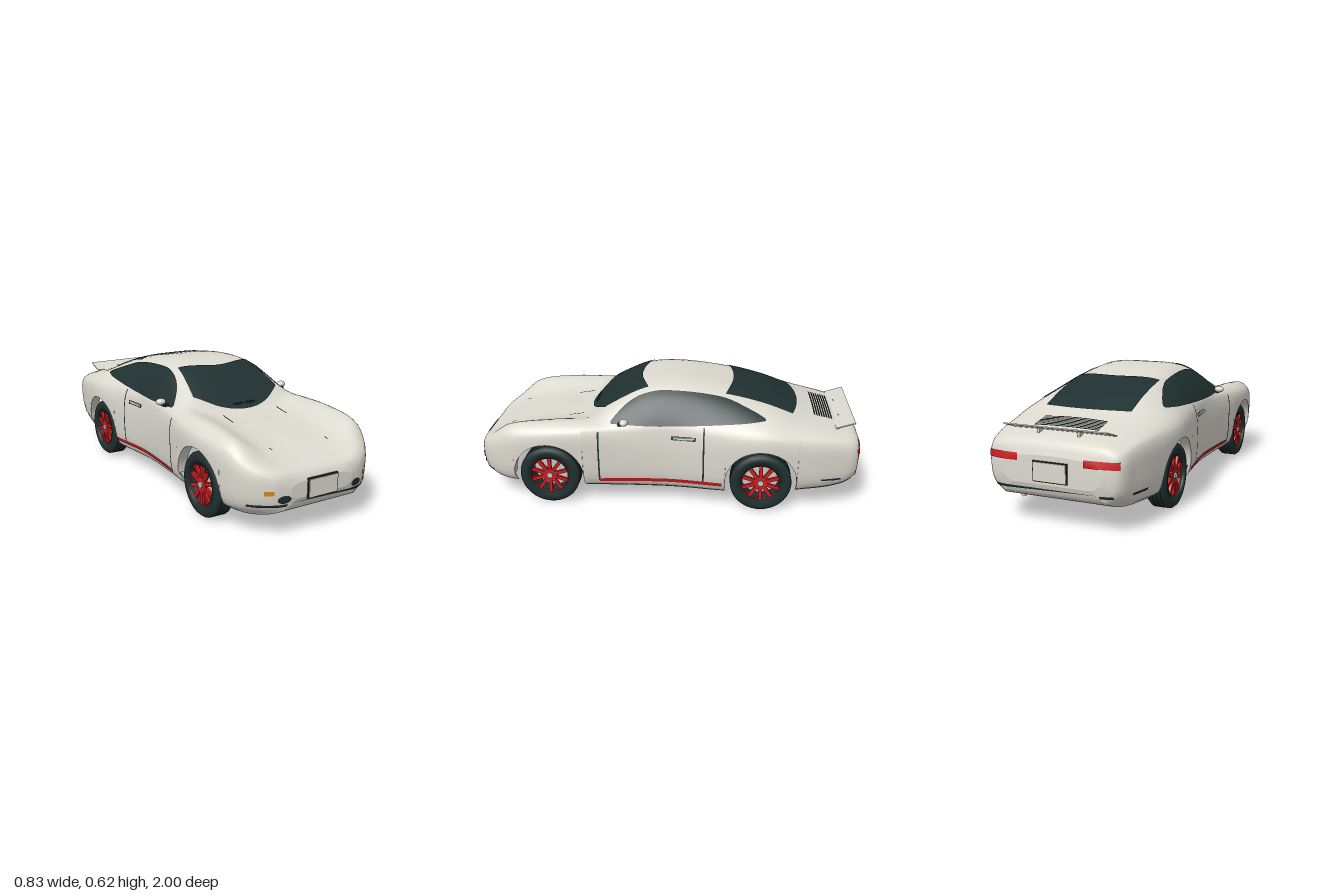
import * as THREE from 'three';

const { lerp } = THREE.MathUtils;
const mat = (name, color, side = THREE.DoubleSide) => {
  const m = new THREE.MeshStandardMaterial({ color, side });
  m.name = name;
  return m;
};

// Body stations: z, floor y, half width, shoulder y, fender x, y, roof or hood edge x, y, centre top y
const STATIONS = [
  [0.99, 0.175, 0.17, 0.23, 0.13, 0.245, 0.07, 0.25, 0.25],
  [0.97, 0.125, 0.25, 0.265, 0.21, 0.285, 0.12, 0.285, 0.285],
  [0.9, 0.1, 0.34, 0.31, 0.29, 0.335, 0.17, 0.32, 0.315],
  [0.8, 0.09, 0.39, 0.37, 0.33, 0.41, 0.2, 0.365, 0.36],
  [0.6, 0.085, 0.41, 0.4, 0.335, 0.44, 0.2, 0.4, 0.395],
  [0.42, 0.08, 0.402, 0.41, 0.33, 0.445, 0.2, 0.42, 0.418],
  [0.35, 0.077, 0.393, 0.41, 0.335, 0.445, 0.255, 0.46, 0.468],
  [0.3, 0.075, 0.385, 0.41, 0.34, 0.445, 0.25, 0.495, 0.507],
  [0.12, 0.072, 0.37, 0.405, 0.345, 0.445, 0.225, 0.58, 0.602],
  [-0.05, 0.07, 0.366, 0.405, 0.345, 0.445, 0.22, 0.595, 0.622],
  [-0.3, 0.07, 0.395, 0.405, 0.35, 0.46, 0.22, 0.57, 0.592],
  [-0.5, 0.078, 0.412, 0.41, 0.345, 0.465, 0.215, 0.525, 0.545],
  [-0.7, 0.092, 0.387, 0.39, 0.32, 0.43, 0.2, 0.455, 0.467],
  [-0.88, 0.11, 0.348, 0.37, 0.29, 0.395, 0.19, 0.412, 0.418],
  [-0.97, 0.15, 0.31, 0.33, 0.26, 0.365, 0.17, 0.378, 0.382],
  [-0.99, 0.2, 0.24, 0.29, 0.2, 0.315, 0.12, 0.325, 0.33],
];
const AXLES = [0.59, -0.49], ARCH_R = 0.18, ARCH_Y = 0.16;

// Smooth interpolation of a column of rows sorted by falling first value
function sample(rows, z, col) {
  let i = 0;
  while (i < rows.length - 2 && z < rows[i + 1][0]) i++;
  const slope = (k) => {
    const a = rows[Math.max(k - 1, 0)], b = rows[Math.min(k + 1, rows.length - 1)];
    return (b[col] - a[col]) / (b[0] - a[0]);
  };
  const [p, q] = [rows[i], rows[i + 1]], h = q[0] - p[0];
  const t = (z - p[0]) / h, t2 = t * t, t3 = t2 * t;
  return (2 * t3 - 3 * t2 + 1) * p[col] + (t3 - 2 * t2 + t) * h * slope(i)
    + (3 * t2 - 2 * t3) * q[col] + (t3 - t2) * h * slope(i + 1);
}

// Cross-section curve from the left floor edge over the top to the right floor edge
function section(z) {
  const [bot, w, dy, ex, ey, fx, fy, top] = [1, 2, 3, 4, 5, 6, 7, 8].map((c) => sample(STATIONS, z, c));
  const half = [[w * 0.8, bot], [w * 0.95, bot + Math.min(0.045, 0.25 * (dy - bot))],
    [w, bot + 0.6 * (dy - bot)], [w * 0.975, dy], [ex, ey], [fx, fy]];
  const pts = [...half, [0, top], ...half.slice().reverse().map(([x, y]) => [-x, y])];
  return { bot, w, curve: new THREE.CatmullRomCurve3(pts.map(([x, y]) => new THREE.Vector3(x, y, z))) };
}

const archAt = (z) => AXLES.find((c) => Math.abs(z - c) <= ARCH_R + 1e-6);

// Curve parameter where the side panel starts: the floor edge or the wheel arch
function lowerEdge(z, curve) {
  const c = archAt(z);
  if (c === undefined) return 0;
  const y = ARCH_Y + Math.sqrt(Math.max(0, ARCH_R ** 2 - (z - c) ** 2));
  let lo = 0, hi = 0.25;
  for (let k = 0; k < 24; k++) {
    const m = (lo + hi) / 2;
    if (curve.getPoint(m).y < y) lo = m; else hi = m;
  }
  return lo;
}

// Grid surface from a rule (i, j) => Vector3
function grid(nu, nv, fn) {
  const pos = [], idx = [], n = nv + 1;
  for (let i = 0; i <= nu; i++) for (let j = 0; j <= nv; j++) pos.push(...fn(i, j).toArray());
  for (let i = 0; i < nu; i++) for (let j = 0; j < nv; j++) {
    const a = i * n + j, c = a + n;
    idx.push(a, c, a + 1, a + 1, c, c + 1);
  }
  const g = new THREE.BufferGeometry();
  g.setAttribute('position', new THREE.Float32BufferAttribute(pos, 3));
  g.setIndex(idx);
  g.computeVertexNormals();
  return g;
}

export function createModel() {
  const car = new THREE.Group();
  const paint = mat('paint', 0xdcd9cf, THREE.FrontSide), dark = mat('dark', 0x203030);
  const red = mat('red', 0xc81e20), amber = mat('amber', 0xd08a1e), silver = mat('silver', 0xc9cccc);
  const add = (name, geo, m, parent = car, x = 0, y = 0, z = 0) => {
    const mesh = new THREE.Mesh(geo, m);
    mesh.name = name;
    mesh.position.set(x, y, z);
    parent.add(mesh);
    return mesh;
  };
  const box = (w, h, d) => new THREE.BoxGeometry(w, h, d);

  // Body shell with open wheel arches; the end stations close to a point
  let zs = [];
  for (let i = 0; i <= 72; i++) zs.push(0.99 * Math.cos((Math.PI * i) / 72));
  zs = zs.filter((z) => archAt(z) === undefined);
  for (const c of AXLES) {
    zs.push(c + ARCH_R + 0.0005, c - ARCH_R - 0.0005);
    for (let k = 0; k <= 22; k++) zs.push(c + ARCH_R * Math.cos((Math.PI * k) / 22));
  }
  zs.sort((a, b) => b - a);
  const secs = zs.map((z) => {
    const s = section(z);
    return { ...s, z, t0: lowerEdge(z, s.curve) };
  });
  const last = zs.length + 1;
  const body = add('bodyShell', grid(last, 60, (i, j) => {
    const s = secs[Math.min(Math.max(i - 1, 0), zs.length - 1)];
    if (i === 0 || i === last) return new THREE.Vector3(0, s.bot, s.z);
    const t = j < 12 ? lerp(s.t0, 0.25, j / 12) : j > 48 ? lerp(0.75, 1 - s.t0, (j - 48) / 12) : lerp(0.25, 0.75, (j - 12) / 36);
    return s.curve.getPoint(t);
  }), paint);
  add('floor', grid(zs.length - 1, 2, (i, j) => {
    const s = secs[i], hw = archAt(s.z) === undefined ? s.w * 0.8 : 0.27;
    return new THREE.Vector3((j - 1) * hw, s.bot, s.z);
  }), paint);

  // Arch lips
  for (const c of AXLES) for (const side of [1, -1]) {
    add('archLip', grid(22, 1, (i, j) => {
      const z = c + ARCH_R * Math.cos((Math.PI * i) / 22), { curve } = section(z);
      const p = curve.getPoint(lowerEdge(z, curve));
      return new THREE.Vector3(side * (p.x - ((j === 1) === (side === 1) ? 0 : 0.05)), p.y, z);
    }), paint);
  }

  // Painted details are projected onto the shell along one axis
  body.updateMatrixWorld(true);
  const ray = new THREE.Raycaster();
  const AIM = {
    front: (a, b) => [[a, b, 3], [0, 0, -1]], back: (a, b) => [[a, b, -3], [0, 0, 1]],
    top: (a, b) => [[a, 3, b], [0, -1, 0]],
    left: (a, b) => [[3, b, a], [-1, 0, 0]], right: (a, b) => [[-3, b, a], [1, 0, 0]],
  };
  let previous = new THREE.Vector3();
  const project = (view, a, b, lift = 0.004) => {
    const [o, d] = AIM[view](a, b);
    ray.set(new THREE.Vector3(...o), new THREE.Vector3(...d));
    const hit = ray.intersectObject(body)[0];
    if (hit) previous = hit.point.clone().addScaledVector(hit.face.normal, lift);
    return previous.clone();
  };
  const decal = (name, m, view, nu, nv, fn) =>
    add(name, grid(nu, nv, (i, j) => project(view, ...fn(i / nu, j / nv))), m);
  const rect = (a0, a1, b0, b1) => (u, v) => [lerp(a0, a1, u), lerp(b0, b1, v)];

  // Glass
  decal('windscreen', dark, 'top', 24, 14, (u, v) => {
    const s = 2 * u - 1;
    return [s * lerp(0.25, 0.21, v), lerp(0.41 - 0.1 * s * s, 0.14 - 0.05 * s * s, v)];
  });
  decal('rearWindow', dark, 'top', 20, 14, (u, v) => {
    const s = 2 * u - 1;
    return [s * 0.22, lerp(-0.34 + 0.04 * s * s, -0.675 + 0.035 * s * s, v)];
  });
  const sill = [[0.27, 0.44], [0, 0.437], [-0.34, 0.46], [-0.5, 0.475]];
  const rail = [[0.27, 0.452], [0.2, 0.52], [0.12, 0.565], [0, 0.586], [-0.28, 0.562], [-0.45, 0.505], [-0.5, 0.482]];

  for (const [view, side] of [['left', 1], ['right', -1]]) {
    decal('sideWindow', dark, view, 28, 10, (u, v) => {
      const z = lerp(0.27, -0.5, u);
      return [z, lerp(sample(sill, z, 1), sample(rail, z, 1), v)];
    });
    // Doors, sill stripe and handle
    decal('doorLine', dark, view, 1, 12, rect(0.326, 0.334, 0.14, 0.41));
    decal('doorLine', dark, view, 1, 12, rect(-0.204, -0.196, 0.15, 0.44));
    decal('sillStripe', red, view, 28, 1, rect(0.33, -0.295, 0.132, 0.152));
    decal('handleRecess', dark, view, 6, 1, rect(-0.035, -0.16, 0.372, 0.392));
    const h = project(view, -0.1, 0.383);
    add('doorHandle', box(0.012, 0.012, 0.11), paint, car, h.x, h.y, h.z);
    // Mirrors
    const mirror = add('mirror', new THREE.SphereGeometry(1, 20, 14), paint, car, side * 0.372, 0.461, 0.2);
    mirror.scale.set(0.026, 0.017, 0.022);
    add('mirrorStem', box(0.04, 0.012, 0.03), dark, car, side * 0.35, 0.446, 0.215);
    // Front lamps
    decal('indicator', amber, 'front', 4, 2, rect(side * 0.248, side * 0.285, 0.206, 0.225));
    decal('fogLamp', dark, 'front', 24, 2, (u, v) => [side * 0.202 + 0.031 * v * Math.cos(u * Math.PI * 2),
      0.183 + 0.018 * v * Math.sin(u * Math.PI * 2)]);
    // Bonnet lines and wiper
    decal('bonnetLine', dark, 'top', 20, 1, rect(side * 0.157, side * 0.163, 0.44, 0.83));
    add('wiper', box(0.05, 0.006, 0.008), dark, car, side * 0.035, 0.448, 0.385);
    // Rear lamps and bumper side strip
    decal('tailLamp', red, 'back', 14, 3, rect(side * 0.16, side * 0.315, 0.298, 0.33));
    decal('rearSideStrip', dark, view, 6, 1, rect(-0.79, -0.89, 0.174, 0.184));
    add('spoilerPost', box(0.012, 0.04, 0.03), paint, car, side * 0.1, 0.41, -0.9);
  }

  // Bumper strips and number plates
  decal('frontStrip', dark, 'front', 36, 1, rect(-0.335, 0.335, 0.149, 0.161));
  decal('rearStrip', dark, 'back', 30, 1, rect(-0.285, 0.285, 0.17, 0.182));
  for (const [y, s] of [[0.212, 1], [0.26, -1]]) {
    add('plateFrame', box(0.168, 0.092, 0.012), dark, car, 0, y, s * 0.991);
    add('plate', box(0.158, 0.082, 0.012), paint, car, 0, y, s * 0.994);
  }

  // Engine grille and spoiler
  for (let k = 0; k < 8; k++) {
    const z = -0.85 + k * 0.0125;
    decal('grilleSlot', dark, 'top', 8, 1, rect(-0.16, 0.16, z, z + 0.008));
  }
  add('spoiler', box(0.505, 0.006, 0.1), paint, car, 0, 0.43, -0.907).rotation.x = 0.32;
  add('exhaust', new THREE.CylinderGeometry(0.012, 0.012, 0.09, 16), silver, car, 0.2, 0.112, -0.85).rotation.x = Math.PI / 2;

  // Wheels: open tyre with tread grooves, spoked rim and hub
  const profile = [[0.098, -0.045], [0.125, -0.05], [0.145, -0.048], [0.155, -0.036]];
  for (const y of [-0.022, 0, 0.022]) {
    profile.push([0.155, y - 0.004], [0.149, y - 0.003], [0.149, y + 0.003], [0.155, y + 0.004]);
  }
  profile.push([0.155, 0.036], [0.145, 0.048], [0.125, 0.05], [0.098, 0.045], [0.098, -0.045]);
  const tyreGeo = new THREE.LatheGeometry(profile.map((p) => new THREE.Vector2(...p)), 48).rotateZ(-Math.PI / 2);
  const disc = (r, w) => new THREE.CylinderGeometry(r, r, w, 24).rotateZ(Math.PI / 2);
  for (const z of AXLES) for (const side of [1, -1]) {
    const wheel = new THREE.Group();
    wheel.name = 'wheel';
    wheel.position.set(side * 0.335, 0.155, z);
    wheel.rotation.y = side > 0 ? 0 : Math.PI;
    car.add(wheel);
    add('tyre', tyreGeo, dark, wheel);
    add('rimRing', new THREE.TorusGeometry(0.096, 0.004, 8, 40).rotateY(Math.PI / 2), red, wheel, 0.038);
    add('rimCentre', disc(0.036, 0.016), red, wheel, 0.034);
    add('hub', disc(0.015, 0.024), silver, wheel, 0.037);
    for (let k = 0; k < 10; k++) {
      const spoke = add('spoke', box(0.014, 0.07, 0.018).translate(0, 0.063, 0), red, wheel, 0.034);
      spoke.rotation.x = (k * Math.PI) / 5;
    }
  }
  return car;
}
